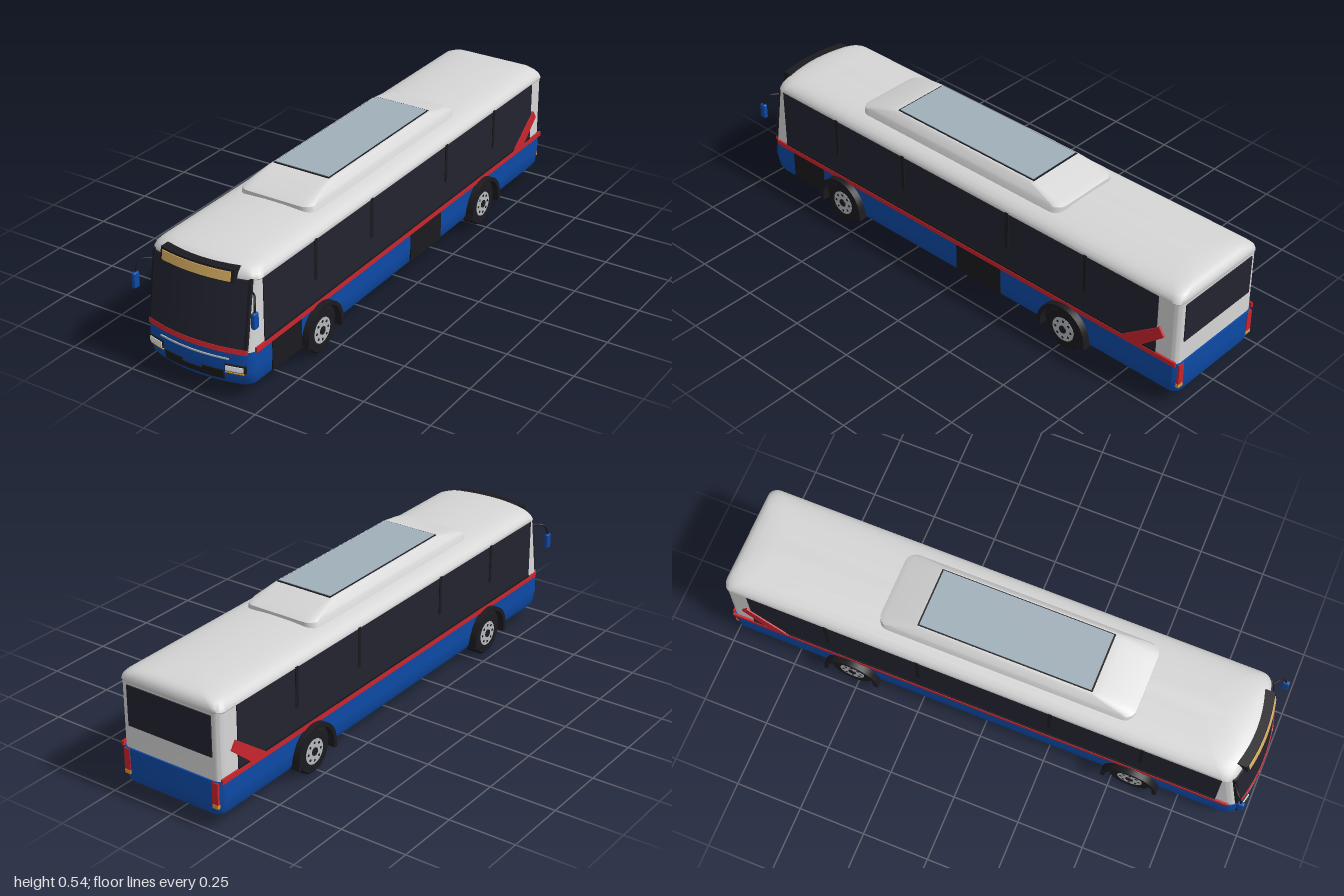
import * as THREE from 'three';
import { toCreasedNormals } from 'three/addons/utils/BufferGeometryUtils.js';
import { RoundedBoxGeometry } from 'three/addons/geometries/RoundedBoxGeometry.js';

const BOW = 0.035, HALF = 0.21;
// front face position by height: [y, z]
const FRONT = [[0.058, 0.975], [0.075, 0.985], [0.12, 0.994], [0.18, 0.989], [0.43, 0.948], [0.47, 0.94]];
function frontZ(y) {
  for (let i = 1; i < FRONT.length; i++) {
    const [y0, z0] = FRONT[i - 1], [y1, z1] = FRONT[i];
    if (y <= y1) return z0 + (z1 - z0) * (y - y0) / (y1 - y0);
  }
  return FRONT[FRONT.length - 1][1];
}

// plan outline: rounded rectangle with a bowed front
function outline(y, w, zf, zb, r, bow) {
  const pts = [];
  const add = (x, z) => pts.push(x, y, z > 0 ? z - bow * (x / w) ** 2 : z);
  [[1, 1], [1, -1], [-1, -1], [-1, 1]].forEach(([sx, sz], k) => {
    for (let i = 0; i <= 6; i++) {
      const a = (k + i / 6) * Math.PI / 2;
      add(sx * (w - r) + r * Math.sin(a), (sz > 0 ? zf - r : zb + r) + r * Math.cos(a));
    }
  });
  for (let i = 1; i < 8; i++) add((w - r) * (i / 4 - 1), zf);
  return pts;
}

// skin over stacked outlines, rows: [y, halfWidth, front, back, radius]
function loft(rows, bow, crease = 0.6) {
  const pos = [], idx = [];
  rows.forEach(row => pos.push(...outline(...row, bow)));
  const n = pos.length / 3 / rows.length, last = (rows.length - 1) * n;
  for (let i = 0; i < rows.length - 1; i++) {
    for (let j = 0; j < n; j++) {
      const a = i * n + j, b = i * n + (j + 1) % n;
      idx.push(a, b, b + n, a, b + n, a + n);
    }
  }
  const low = pos.length / 3, bot = rows[0], top = rows[rows.length - 1];
  pos.push(0, bot[0], (bot[2] + bot[3]) / 2, 0, top[0], (top[2] + top[3]) / 2);
  for (let j = 0; j < n; j++) {
    const k = (j + 1) % n;
    idx.push(low, k, j, low + 1, last + j, last + k);
  }
  const g = new THREE.BufferGeometry();
  g.setAttribute('position', new THREE.Float32BufferAttribute(pos, 3));
  g.setIndex(idx);
  return toCreasedNormals(g, crease);
}

export function createModel() {
  const bus = new THREE.Group();
  bus.name = 'cityBus';
  const mat = (name, color) => {
    const m = new THREE.MeshStandardMaterial({ color });
    m.name = name;
    return m;
  };
  const white = mat('white paint', 0xd6d6d6), blue = mat('blue paint', 0x0d4aa6);
  const red = mat('red paint', 0xc9252d), glass = mat('dark glass', 0x232330);
  const black = mat('black trim', 0x1b1b20), sky = mat('roof glass', 0xa0afba);
  const amber = mat('display amber', 0xd6ad60), silver = mat('silver', 0xb4b8bc);
  const lamp = mat('lamp', 0xe4e6e8), orange = mat('indicator orange', 0xe09a30);

  const put = (name, geo, m, x = 0, y = 0, z = 0, parent = bus) => {
    const mesh = new THREE.Mesh(geo, m);
    mesh.name = name;
    mesh.position.set(x, y, z);
    parent.add(mesh);
    return mesh;
  };
  const box = (name, m, w, h, d, x, y, z, parent) =>
    put(name, new THREE.BoxGeometry(w, h, d), m, x, y, z, parent);
  // box bent to follow the front face
  const frontPart = (name, m, x0, x1, y0, y1, depth, out = 0) => {
    const g = new THREE.BoxGeometry(x1 - x0, y1 - y0, depth, 12, 6, 1);
    g.translate((x0 + x1) / 2, (y0 + y1) / 2, out);
    const p = g.attributes.position;
    for (let i = 0; i < p.count; i++) {
      p.setZ(i, p.getZ(i) + frontZ(p.getY(i)) - BOW * (p.getX(i) / HALF) ** 2);
    }
    g.computeVertexNormals();
    return put(name, g, m);
  };

  // body shells
  put('underside', loft([[0.056, 0.194, 0.965, -0.985, 0.03], [0.06, 0.196, 0.968, -0.987, 0.03]], BOW), black);
  put('lowerBody', loft([
    [0.058, 0.197, 0.975, -0.988, 0.03], [0.075, 0.206, 0.985, -0.994, 0.03],
    [0.12, 0.21, 0.994, -0.996, 0.03], [0.185, 0.21, 0.989, -0.996, 0.03]], BOW), blue);
  put('upperBody', loft([
    [0.18, 0.207, 0.986, -0.99, 0.025], [0.432, 0.207, 0.946, -0.99, 0.025]], BOW), white);
  put('roof', loft([
    [0.428, 0.207, 0.947, -0.99, 0.03], [0.434, 0.212, 0.946, -0.993, 0.03],
    [0.447, 0.208, 0.942, -0.993, 0.035], [0.459, 0.197, 0.935, -0.988, 0.04],
    [0.469, 0.18, 0.925, -0.98, 0.045], [0.476, 0.156, 0.905, -0.965, 0.05],
    [0.482, 0.11, 0.87, -0.935, 0.05], [0.486, 0.04, 0.82, -0.88, 0.03]], BOW, 1.0), white);

  // roof pod
  put('roofPod', loft([
    [0.468, 0.153, 0.525, -0.425, 0.04], [0.497, 0.145, 0.525, -0.425, 0.04],
    [0.507, 0.14, 0.505, -0.405, 0.04], [0.529, 0.123, 0.395, -0.295, 0.02],
    [0.533, 0.118, 0.375, -0.285, 0.015]], 0, 0.5), white);
  box('roofPanelFrame', black, 0.226, 0.003, 0.648, 0, 0.534, 0.04);
  box('roofPanel', sky, 0.218, 0.004, 0.636, 0, 0.536, 0.04);

  // front
  frontPart('windscreen', glass, -0.195, 0.195, 0.197, 0.432, 0.008);
  frontPart('frontStripe', red, -0.195, 0.195, 0.181, 0.198, 0.012);
  frontPart('displayCase', black, -0.145, 0.145, 0.424, 0.467, 0.036);
  frontPart('displayFace', amber, -0.135, 0.135, 0.428, 0.46, 0.004, 0.019);
  frontPart('trimStrip', silver, -0.137, 0.137, 0.155, 0.16, 0.008);
  frontPart('grilleCentre', black, -0.045, 0.045, 0.077, 0.1, 0.008);
  for (const s of [-1, 1]) {
    const pair = (name, m, a, b, y0, y1, d) =>
      frontPart(name, m, Math.min(s * a, s * b), Math.max(s * a, s * b), y0, y1, d);
    pair('grilleSide', black, 0.04, 0.117, 0.077, 0.113, 0.009);
    pair('headlampSurround', black, 0.124, 0.194, 0.113, 0.14, 0.008);
    pair('headlamp', lamp, 0.128, 0.187, 0.117, 0.135, 0.014);
    pair('indicator', orange, 0.125, 0.187, 0.107, 0.111, 0.01);
    pair('windscreenPillar', black, 0.186, 0.195, 0.2, 0.436, 0.012);
  }

  // rear
  box('rearWindow', glass, 0.35, 0.15, 0.006, 0, 0.345, -0.991);

  // rear diagonal stripe outline, drawn in (-z, y)
  const slash = new THREE.Shape([[0.765, 0.197], [0.845, 0.197], [0.94, 0.281], [0.918, 0.312]]
    .map(([a, b]) => new THREE.Vector2(a, b)));
  // wheel arch outline
  const archShape = new THREE.Shape();
  archShape.moveTo(0.108, -0.025);
  archShape.lineTo(0.105, 0);
  archShape.absarc(0, 0, 0.105, 0, Math.PI, false);
  archShape.lineTo(-0.108, -0.025);
  archShape.lineTo(-0.092, -0.025);
  archShape.lineTo(-0.09, 0);
  archShape.absarc(0, 0, 0.09, Math.PI, 0, true);
  archShape.lineTo(0.092, -0.025);
  const arch = new THREE.ExtrudeGeometry(archShape, { depth: 0.035, bevelEnabled: false, curveSegments: 24 });
  const disc = (r, t, n = 28) => new THREE.CylinderGeometry(r, r, t, n).rotateZ(Math.PI / 2);
  const tyre = new THREE.LatheGeometry([[0.03, -0.028], [0.076, -0.028], [0.083, -0.021], [0.083, 0.021],
    [0.076, 0.028], [0.03, 0.028]].map(([r, h]) => new THREE.Vector2(r, h)), 32).rotateZ(Math.PI / 2);
  const tyreGeo = toCreasedNormals(tyre, 0.5);

  for (const s of [-1, 1]) {
    // side windows, dividers and stripes
    box('sideWindows', glass, 0.006, 0.232, 1.785, s * 0.2075, 0.316, -0.0125);
    box('sideStripe', red, 0.008, 0.018, 1.92, s * 0.2105, 0.19, -0.03);
    for (const z of [0.59, 0.25, -0.25, -0.6]) {
      box('windowDivider', black, 0.008, 0.15, 0.014, s * 0.2095, 0.362, z);
    }
    box('windowSill', black, 0.006, 0.008, 1.785, s * 0.2095, 0.203, -0.0125);
    const slashGeo = new THREE.ExtrudeGeometry(slash, { depth: 0.008, bevelEnabled: false }).rotateY(Math.PI / 2);
    put('rearDiagonal', slashGeo, red, s > 0 ? 0.2075 : -0.2155);

    // tail lamps
    box('tailLamp', red, 0.024, 0.08, 0.012, s * 0.186, 0.143, -0.993);
    box('rearIndicator', orange, 0.024, 0.014, 0.012, s * 0.186, 0.095, -0.993);

    // mirrors
    const arm = new THREE.CatmullRomCurve3([[0.195, 0.4, 0.925], [0.222, 0.399, 0.945],
      [0.233, 0.382, 0.96], [0.238, 0.35, 0.968]].map(([x, y, z]) => new THREE.Vector3(s * x, y, z)));
    put('mirrorArm', new THREE.TubeGeometry(arm, 16, 0.0035, 8), black);
    put('mirror', new RoundedBoxGeometry(0.017, 0.058, 0.026, 3, 0.006), blue, s * 0.2375, 0.328, 0.968);

    // wheels and arches
    for (const z of [0.57, -0.52]) {
      const wheel = new THREE.Group();
      wheel.name = 'wheel';
      wheel.position.set(s * 0.192, 0.083, z);
      bus.add(wheel);
      put('tyre', tyreGeo, black, 0, 0, 0, wheel).material.side = THREE.DoubleSide;
      put('rim', disc(0.047, 0.058), silver, 0, 0, 0, wheel);
      put('hub', disc(0.015, 0.064, 16), black, 0, 0, 0, wheel);
      for (let i = 0; i < 8; i++) {
        const a = i * Math.PI / 4;
        put('rimHole', disc(0.005, 0.06, 8), black, 0, 0.034 * Math.cos(a), 0.034 * Math.sin(a), wheel);
      }
      const well = new THREE.CylinderGeometry(0.092, 0.092, 0.012, 24, 1, false, 0, Math.PI);
      put('wheelWell', well.rotateZ(Math.PI / 2), black, s * 0.2065, 0.085, z);
      const flare = put('wheelArch', arch, black, s * 0.202, 0.085, z);
      flare.rotation.y = s * Math.PI / 2;
    }
  }

  // lower door panels on the left side
  box('frontDoor', black, 0.006, 0.113, 0.165, 0.2095, 0.126, 0.76);
  box('middleDoor', black, 0.006, 0.113, 0.21, 0.2095, 0.126, -0.115);
  return bus;
}
